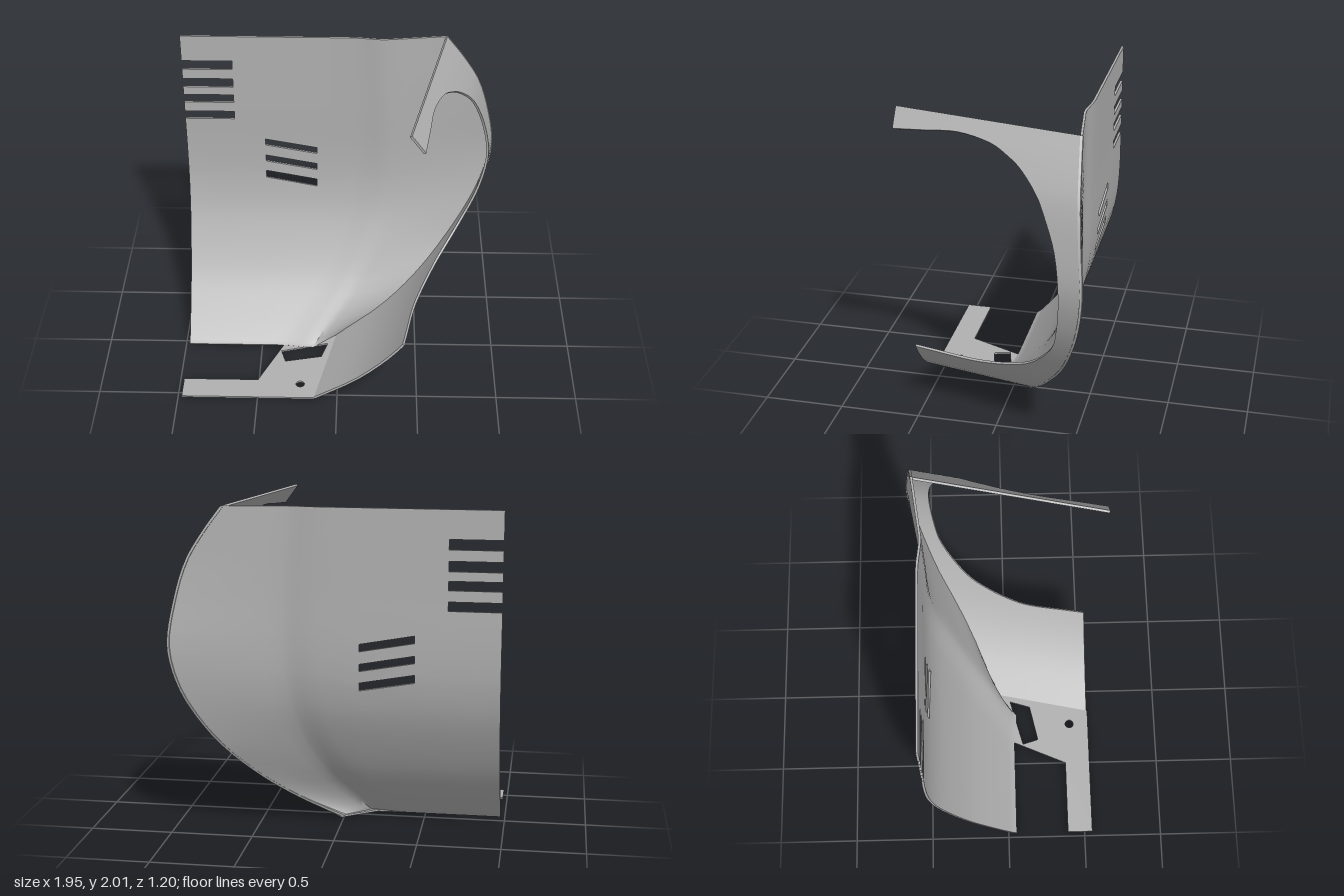
import * as THREE from 'three';
import { toCreasedNormals } from 'three/addons/utils/BufferGeometryUtils.js';

const THICK = 0.015;

// Smooth interpolation through [y, value] pairs with rising y
function smooth(table) {
  const n = table.length;
  const slope = (i) => {
    const a = table[Math.max(i - 1, 0)], b = table[Math.min(i + 1, n - 1)];
    return (b[1] - a[1]) / (b[0] - a[0]);
  };
  return (y) => {
    let i = 0;
    while (i < n - 2 && y > table[i + 1][0]) i++;
    const [y0, v0] = table[i], [y1, v1] = table[i + 1];
    const h = y1 - y0, t = THREE.MathUtils.clamp((y - y0) / h, 0, 1);
    const t2 = t * t, t3 = t2 * t;
    return v0 * (2 * t3 - 3 * t2 + 1) + slope(i) * h * (t3 - 2 * t2 + t)
      + v1 * (3 * t2 - 2 * t3) + slope(i + 1) * h * (t3 - t2);
  };
}

// Outer corner between back panel and side wall, by height
const corner = [[0, 0, -0.1], [0.15, 0.27, -0.19], [0.33, 0.5, -0.31], [0.55, 0.7, -0.445],
  [0.8, 0.86, -0.54], [1, 0.94, -0.585], [1.2, 0.97, -0.6], [1.45, 0.93, -0.58],
  [1.68, 0.86, -0.56], [1.85, 0.76, -0.545], [2, 0.65, -0.53]];
const cornerX = smooth(corner.map(([y, x]) => [y, x]));
const cornerZ = smooth(corner.map(([y, , z]) => [y, z]));
// Side profile of the back panel and path of its soft crease
const panelZ = smooth([[0, 0.045], [0.015, 0.02], [0.18, -0.12], [0.38, -0.265],
  [0.7, -0.42], [0.92, -0.48], [1.15, -0.5], [1.5, -0.5], [2, -0.5]]);
const creaseX = smooth([[0, -0.2], [0.1, -0.12], [0.3, 0.04], [0.6, 0.19], [1, 0.27],
  [1.4, 0.28], [2, 0.25]]);

// Solid sheet from a grid of points, thickened along the normal; hole(i, j) drops cells
function sheet(grid, hole = () => false) {
  const R = grid.length, C = grid[0].length;
  const pos = [], idx = [];
  const at = (i, j) => grid[THREE.MathUtils.clamp(i, 0, R - 1)][THREE.MathUtils.clamp(j, 0, C - 1)];
  for (let i = 0; i < R; i++) for (let j = 0; j < C; j++) {
    const p = grid[i][j];
    const n = at(i + 1, j).clone().sub(at(i - 1, j))
      .cross(at(i, j + 1).clone().sub(at(i, j - 1))).normalize();
    pos.push(...p.toArray(), ...p.clone().addScaledVector(n, THICK).toArray());
  }
  const id = (i, j) => 2 * (i * C + j);
  const solid = (i, j) => i >= 0 && j >= 0 && i < R - 1 && j < C - 1 && !hole(i, j);
  for (let i = 0; i < R - 1; i++) for (let j = 0; j < C - 1; j++) {
    if (!solid(i, j)) continue;
    const a = id(i, j), b = id(i + 1, j), c = id(i + 1, j + 1), d = id(i, j + 1);
    idx.push(a + 1, b + 1, c + 1, a + 1, c + 1, d + 1, a, c, b, a, d, c);
    const rim = (p, q) => idx.push(p, q, q + 1, p, q + 1, p + 1);
    if (!solid(i, j - 1)) rim(a, b);
    if (!solid(i + 1, j)) rim(b, c);
    if (!solid(i, j + 1)) rim(c, d);
    if (!solid(i - 1, j)) rim(d, a);
  }
  const g = new THREE.BufferGeometry();
  g.setAttribute('position', new THREE.Float32BufferAttribute(pos, 3));
  g.setIndex(idx);
  return toCreasedNormals(g, 0.6);
}

// Curved back panel with edge notches and slanted vents
function backPanel() {
  const notches = [1.83, 1.705, 1.59, 1.47], vents = [1.265, 1.145, 1.03];
  const rows = [2, 1.92, 1.83, 1.77, 1.705, 1.645, 1.59, 1.535, 1.47, 1.415, 1.34,
    1.265, 1.22, 1.145, 1.1, 1.03, 0.98, 0.9, 0.82, 0.75, 0.68, 0.61, 0.54, 0.47,
    0.4, 0.33, 0.26, 0.19, 0.13, 0.08, 0.04, 0.015, 0];
  const cols = [-0.975, -0.82, -0.665, -0.57, -0.475, -0.3125, -0.15];
  const grid = rows.map((row) => {
    // rows slope down across the vents
    const fade = THREE.MathUtils.clamp(
      row > 1.265 ? (1.415 - row) / 0.15 : row < 0.98 ? (row - 0.75) / 0.23 : 1, 0, 1);
    const k = creaseX(row), z = panelZ(row);
    const squeeze = Math.min(1, (k - 0.24 + 0.975) / 0.825);
    const line = cols.map((x, j) => {
      const y = row - 0.06 * fade * [0, 0, 0, 0, 0, 0.5, 1][j];
      return new THREE.Vector3(-0.975 + (x + 0.975) * squeeze, y, panelZ(y));
    });
    for (const [dx, dz] of [[-0.18, 0], [-0.12, 0.004], [-0.06, 0.012], [-0.01, 0.018]])
      line.push(new THREE.Vector3(k + dx, row, z + dz));
    const from = new THREE.Vector3(k + 0.03, row, z + 0.018);
    const to = new THREE.Vector3(cornerX(row), row, cornerZ(row));
    for (let s = 0; s <= 6; s++) line.push(from.clone().lerp(to, s / 6));
    return line;
  });
  return sheet(grid, (i, j) =>
    (j < 2 && notches.includes(rows[i])) || ((j === 4 || j === 5) && vents.includes(rows[i])));
}

// Side wall around the big opening: [outer z, outer y, opening z, opening y]
function sideWall() {
  const pairs = [[0.6, 2, 0.6, 1.89], [0.4, 2, 0.4, 1.908], [0.15, 2, 0.2, 1.925],
    [-0.15, 2, 0, 1.9], [-0.36, 2, -0.12, 1.85], [-0.53, 2, -0.2, 1.8],
    [0, 1.85, -0.29, 1.71], [0, 1.7, -0.35, 1.61], [0, 1.45, -0.43, 1.4],
    [0, 1.18, -0.46, 1.15], [0, 0.85, -0.44, 0.9], [0, 0.62, -0.39, 0.73],
    [0, 0.33, -0.25, 0.56], [0, 0.15, -0.1, 0.48], [-0.1, 0, 0.07, 0.433],
    [0.15, 0, 0.2, 0.422], [0.38, 0, 0.4, 0.43], [0.545, 0, 0.53, 0.435]];
  const opening = new THREE.SplineCurve(pairs.map((p) => new THREE.Vector2(p[2], p[3])));
  const spans = pairs.length - 1, steps = 4, grid = [];
  for (let s = 0; s <= spans * steps; s++) {
    const i = Math.min(Math.floor(s / steps), spans - 1), t = s / steps - i;
    const y = THREE.MathUtils.lerp(pairs[i][1], pairs[i + 1][1], t);
    const onCorner = y > 0 && y < 2;
    const z = onCorner ? cornerZ(y) : THREE.MathUtils.lerp(pairs[i][0], pairs[i + 1][0], t);
    const outer = new THREE.Vector2(z, y), inner = opening.getPoint(s / (spans * steps));
    const line = [];
    for (let r = 0; r <= 8; r++) {
      const p = outer.clone().lerp(inner, r / 8);
      line.push(new THREE.Vector3(cornerX(p.y) - 0.21 * (p.x - cornerZ(p.y)), p.y, p.x));
    }
    grid.push(line);
  }
  return sheet(grid);
}

// Flat base tab with a four-sided window and a round hole
function basePlate() {
  const pts = (list) => list.map(([x, z]) => new THREE.Vector2(x, -z));
  const shape = new THREE.Shape(pts([[-0.975, 0.55], [-0.15, 0.55], [-0.13, 0.54], [0, -0.1],
    [-0.2, 0.04], [-0.355, 0.045], [-0.505, 0.39], [-0.975, 0.39]]));
  shape.holes.push(new THREE.Path(pts([[-0.37, 0.11], [-0.07, 0.03], [-0.11, 0.16], [-0.34, 0.21]])));
  shape.holes.push(new THREE.Path().absarc(-0.235, -0.425, 0.027, 0, Math.PI * 2, true));
  return new THREE.ExtrudeGeometry(shape, { depth: 0.012, bevelEnabled: false, curveSegments: 20 })
    .rotateX(-Math.PI / 2);
}

export function createModel() {
  const grey = new THREE.MeshStandardMaterial({ color: 0xb0b0b0 });
  grey.name = 'grey';
  const group = new THREE.Group();
  group.name = 'shroudHalf';
  const parts = { backPanel: backPanel(), sideWall: sideWall(), basePlate: basePlate() };
  for (const [name, geometry] of Object.entries(parts)) {
    const mesh = new THREE.Mesh(geometry, grey);
    mesh.name = name;
    group.add(mesh);
  }
  return group;
}
